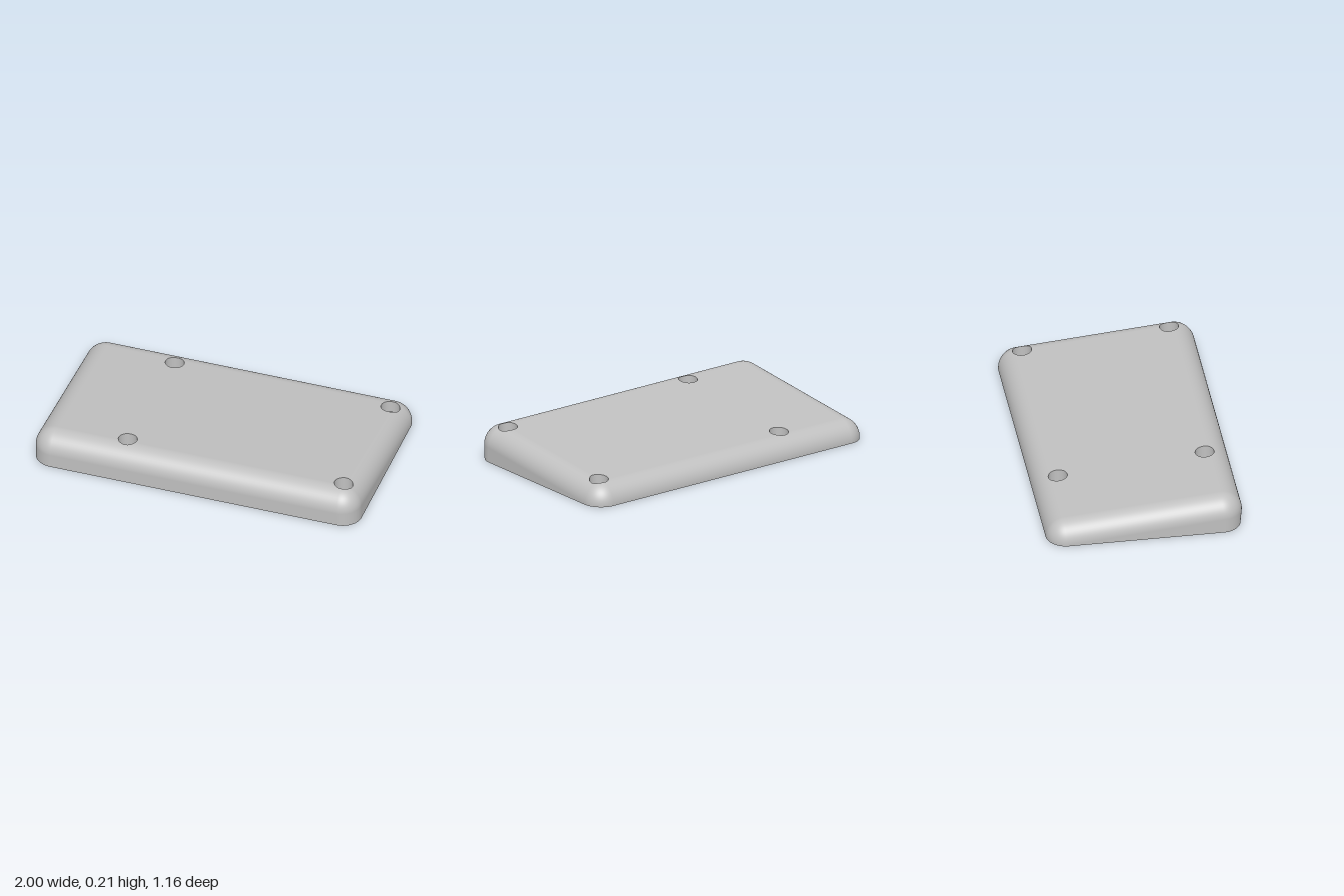
import * as THREE from 'three';

const R = 0.12, SLOPE = 0.088, HX = 0.88, HZ = 0.46;    // edge radius, top slope, corner centres
const BORE = 0.056, PIN = 0.027, FLOOR = 0.05, SIDES = 40;
const HOLES = [[-0.45, -0.44], [0.88, -0.44], [-0.45, 0.43], [0.88, 0.43]];

// Collects convex polygons of {p, n}; winding follows the normals
function collector() {
  const pos = [], nor = [];
  return {
    add(poly) {
      for (let i = 1; i < poly.length - 1; i++) {
        const t = [poly[0], poly[i], poly[i + 1]];
        const c = t[1].p.clone().sub(t[0].p).cross(t[2].p.clone().sub(t[0].p));
        if (c.length() < 1e-10) continue;
        if (c.dot(t[0].n) + c.dot(t[1].n) + c.dot(t[2].n) < 0) t.reverse();
        for (const v of t) { pos.push(...v.p); nor.push(...v.n); }
      }
    },
    build() {
      const g = new THREE.BufferGeometry();
      g.setAttribute('position', new THREE.Float32BufferAttribute(pos, 3));
      g.setAttribute('normal', new THREE.Float32BufferAttribute(nor, 3));
      return g;
    },
  };
}

// Splits a convex polygon by a signed distance into [outside, inside]
function split(poly, dist) {
  const out = [], inn = [];
  poly.forEach((a, i) => {
    const b = poly[(i + 1) % poly.length], da = dist(a.p), db = dist(b.p);
    if (da >= 0) out.push(a);
    if (da <= 0) inn.push(a);
    if (da * db < 0) {
      const t = da / (da - db);
      const v = { p: a.p.clone().lerp(b.p, t), n: a.n.clone().lerp(b.n, t).normalize() };
      out.push(v); inn.push(v);
    }
  });
  return [out, inn];
}

export function createModel() {
  const group = new THREE.Group();
  const grey = new THREE.MeshStandardMaterial({ color: 0xc0c0c0, side: THREE.DoubleSide });
  grey.name = 'light grey';
  const addMesh = (name, geometry) => {
    const m = new THREE.Mesh(geometry, grey);
    m.name = name;
    group.add(m);
    return m;
  };

  // Columns running from the base, up the wall and over the rounded edge
  const up = new THREE.Vector3(0, 1, -SLOPE).normalize();
  const columns = [], N = 14, M = 14;
  [[1, 1], [-1, 1], [-1, -1], [1, -1]].forEach(([sx, sz], q) => {
    const c = new THREE.Vector3(sx * HX, 0.17 + SLOPE * sz * HZ - R / up.y, sz * HZ);
    for (let k = 0; k <= N; k++) {
      const a = (q + k / N) * Math.PI / 2;
      const n = new THREE.Vector3(Math.cos(a), 0, Math.sin(a));
      const rim = c.clone().addScaledVector(n, R);
      const foot = rim.clone().setY(0);
      foot.z -= c.y * SLOPE * Math.max(0, n.z);
      const col = [{ p: foot, n }];
      for (let j = 0; j <= M; j++) {
        const f = j / M * Math.PI / 2;
        const d = n.clone().multiplyScalar(Math.cos(f)).addScaledVector(up, Math.sin(f)).normalize();
        col.push({ p: c.clone().addScaledVector(d, R), n: d });
      }
      columns.push(col);
    }
  });

  // Skin patches: side strips and the sloping top
  let patches = [];
  columns.forEach((a, i) => {
    const b = columns[(i + 1) % columns.length];
    for (let j = 0; j <= M; j++) {
      patches.push([a[j], b[j], b[j + 1]], [a[j], b[j + 1], a[j + 1]]);
    }
  });
  patches.push([0, 1, 2, 3].map((q) => columns[q * (N + 1)][M + 1]));

  // Cut the recesses out of the skin, dropping a wall from each cut edge
  const walls = collector();
  for (const [hx, hz] of HOLES) {
    const edges = Array.from({ length: SIDES }, (_, i) => {
      const a = (i + 0.5) / SIDES * Math.PI * 2, r = BORE * Math.cos(Math.PI / SIDES);
      return (p) => (p.x - hx) * Math.cos(a) + (p.z - hz) * Math.sin(a) - r;
    });
    const kept = [];
    for (const patch of patches) {
      if (edges.some((e) => patch.every((v) => e(v.p) >= 0))) { kept.push(patch); continue; }
      let rest = patch;
      for (const e of edges) {
        const [out, inn] = split(rest, e);
        if (out.length > 2) kept.push(out);
        rest = inn;
        if (rest.length < 3) break;
      }
      if (rest.length < 3) continue;
      rest.forEach((a, i) => {
        const b = rest[(i + 1) % rest.length];
        if (!edges.some((e) => Math.abs(e(a.p)) < 1e-7 && Math.abs(e(b.p)) < 1e-7)) return;
        const inward = (v, y) => ({
          p: new THREE.Vector3(v.p.x, y, v.p.z),
          n: new THREE.Vector3(hx - v.p.x, 0, hz - v.p.z).normalize(),
        });
        walls.add([inward(a, a.p.y), inward(b, b.p.y), inward(b, FLOOR), inward(a, FLOOR)]);
      });
    }
    patches = kept;
  }
  const skin = collector();
  patches.forEach((p) => skin.add(p));
  addMesh('shell', skin.build());
  addMesh('recessWalls', walls.build());

  // Flat underside with screw holes
  const base = new THREE.Shape(columns.map((c) => new THREE.Vector2(c[0].p.x, c[0].p.z)));
  for (const [x, z] of HOLES) base.holes.push(new THREE.Path().absarc(x, z, PIN, 0, Math.PI * 2, true));
  addMesh('underside', new THREE.ShapeGeometry(base, SIDES / 2).rotateX(Math.PI / 2));

  // Recess floors and screw hole walls
  const lathe = (...pts) => new THREE.LatheGeometry(pts.map((p) => new THREE.Vector2(...p)), SIDES);
  const floor = lathe([BORE, FLOOR], [PIN, FLOOR]);
  const bore = lathe([PIN, FLOOR], [PIN, 0]);
  for (const [x, z] of HOLES) {
    addMesh('recessFloor', floor).position.set(x, 0, z);
    addMesh('screwHole', bore).position.set(x, 0, z);
  }
  return group;
}
